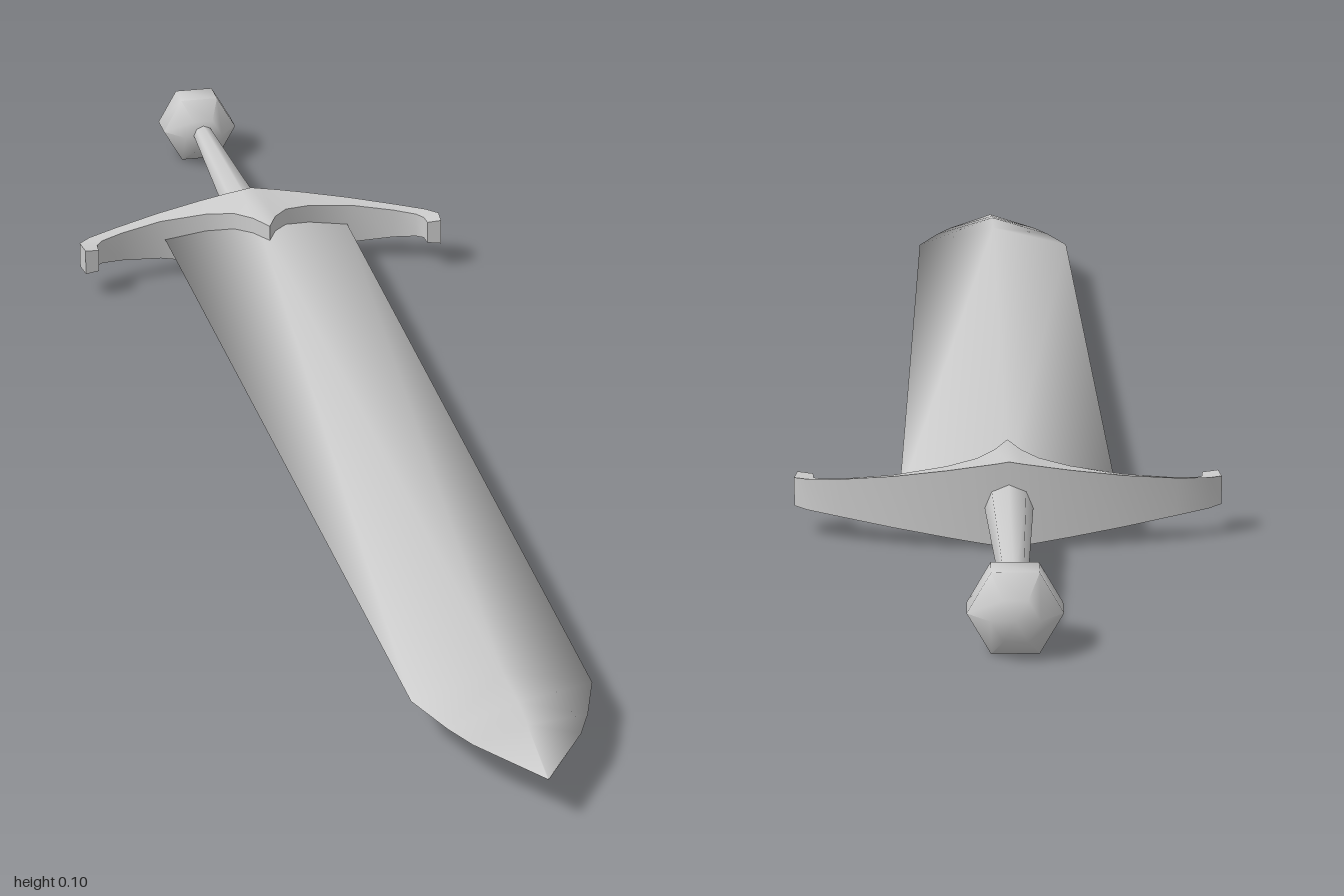
import * as THREE from 'three';
import { toCreasedNormals } from 'three/addons/utils/BufferGeometryUtils.js';

// Skin a list of equal-sized rings of [x, y, z] points and cap both ends.
function loft(rings) {
  const n = rings[0].length, last = (rings.length - 1) * n, index = [];
  for (let i = 0; i < rings.length - 1; i++) {
    for (let j = 0; j < n; j++) {
      const k = (j + 1) % n;
      const a = i * n + j, b = i * n + k, c = b + n, d = a + n;
      index.push(a, b, c, a, c, d);
    }
  }
  for (let j = 1; j < n - 1; j++) {
    index.push(0, j + 1, j, last, last + j, last + j + 1);
  }
  const geometry = new THREE.BufferGeometry();
  geometry.setAttribute('position', new THREE.Float32BufferAttribute(rings.flat(2), 3));
  geometry.setIndex(index);
  geometry.computeVertexNormals();
  return geometry;
}

export function createModel() {
  const group = new THREE.Group();
  const material = new THREE.MeshStandardMaterial({ color: 0xcccccc });
  const midY = 0.052;

  const add = (name, geometry) => {
    const mesh = new THREE.Mesh(geometry, material);
    mesh.name = name;
    group.add(mesh);
    return mesh;
  };

  // Blade: diamond sections [z, half width, half thickness]
  const bladeSections = [
    [-0.54, 0.124, 0.024], [0.8, 0.102, 0.024], [0.87, 0.078, 0.0235],
    [0.91, 0.06, 0.017], [1, 0.001, 0.001],
  ];
  add('blade', loft(bladeSections.map(([z, w, h]) => [
    [w, midY, z], [0, midY + h, z], [-w, midY, z], [0, midY - h, z],
  ])));

  // Crossguard half: [back x, back z, front x, front z, half height], centre to hooked end
  const half = [
    [0, -0.566, 0, -0.443, 0.05],
    [0.015, -0.566, 0.015, -0.48, 0.0475],
    [0.035, -0.565, 0.035, -0.508, 0.0445],
    [0.07, -0.562, 0.07, -0.525, 0.039],
    [0.13, -0.552, 0.13, -0.532, 0.03],
    [0.19, -0.534, 0.185, -0.52, 0.022],
    [0.228, -0.518, 0.213, -0.508, 0.018],
    [0.243, -0.505, 0.221, -0.498, 0.0165],
    [0.24, -0.478, 0.222, -0.48, 0.0165],
  ];
  const mirrored = half.slice(1).reverse().map(([bx, bz, fx, fz, h]) => [-bx, bz, -fx, fz, h]);
  const guardRings = [...mirrored, ...half].map(([bx, bz, fx, fz, h]) => {
    const f = h * 0.88;
    return [[bx, midY + h, bz], [fx, midY + f, fz], [fx, midY - f, fz], [bx, midY - h, bz]];
  });
  add('crossguard', toCreasedNormals(loft(guardRings), 0.7));

  // Grip: tapers towards the pommel
  const grip = add('grip', new THREE.CylinderGeometry(0.028, 0.013, 0.37, 8, 1).rotateX(Math.PI / 2));
  grip.position.set(0, 0.048, -0.735);

  // Pommel: six-sided faceted knob with its axis along the grip
  const profile = [[0, -0.05], [0.026, -0.05], [0.051, -0.02], [0.051, 0.02], [0.026, 0.05], [0, 0.05]]
    .map(([r, y]) => new THREE.Vector2(r, y));
  const knob = new THREE.LatheGeometry(profile, 6).rotateX(Math.PI / 2).rotateZ(Math.PI / 6);
  const pommel = add('pommel', toCreasedNormals(knob, 1.1));
  // Keep a flat side facing down and rest the knob on the ground
  knob.computeBoundingBox();
  if (knob.boundingBox.max.y > 0.05) pommel.rotation.z = Math.PI / 6;
  pommel.position.set(0, 0.046, -0.95);

  return group;
}
